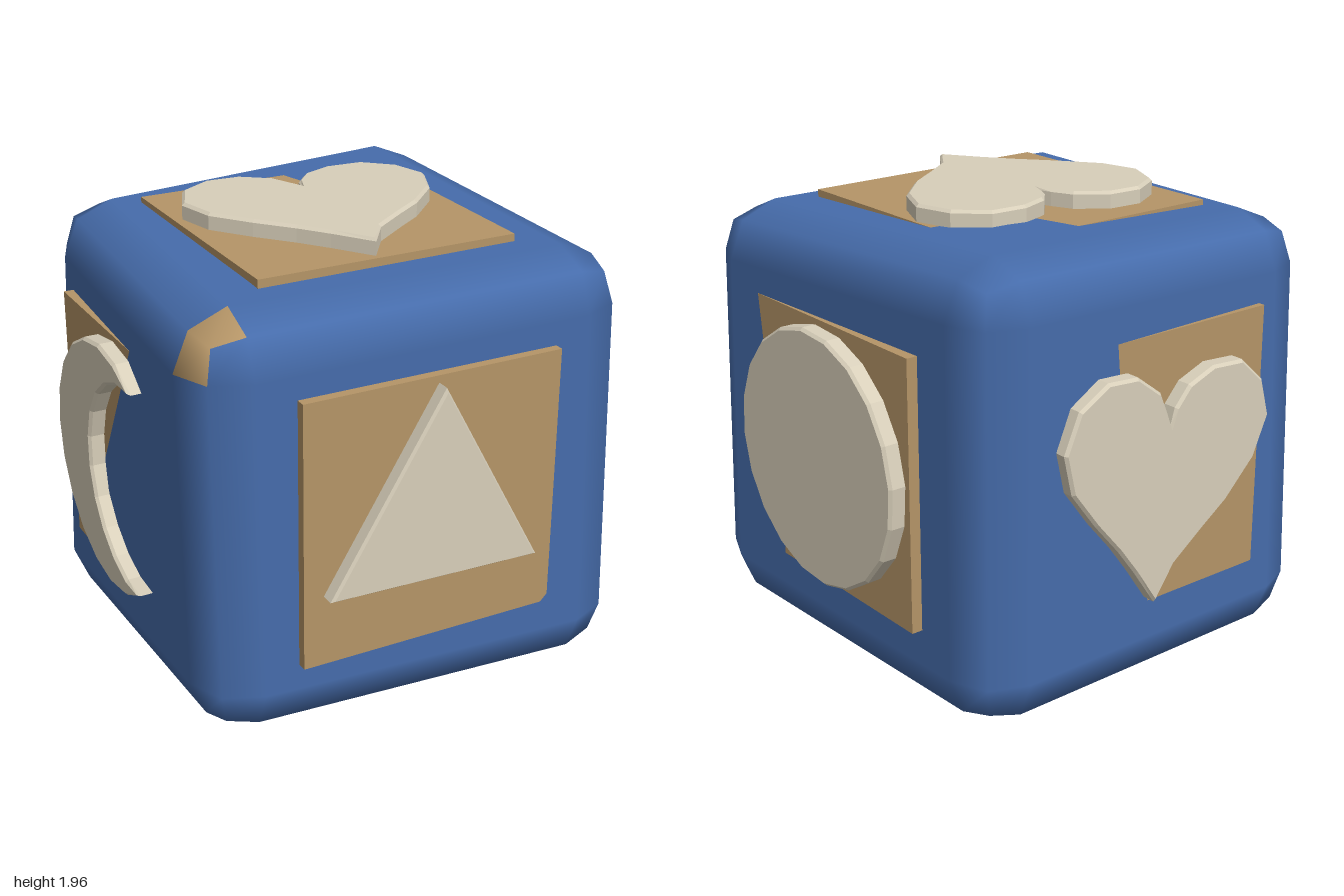
import * as THREE from 'three';
import { RoundedBoxGeometry } from 'three/addons/geometries/RoundedBoxGeometry.js';

const blue = new THREE.MeshStandardMaterial({ name: 'blue', color: 0x466cab, side: THREE.DoubleSide });
const tan = new THREE.MeshStandardMaterial({ name: 'tan', color: 0xb59567, side: THREE.DoubleSide });
const cream = new THREE.MeshStandardMaterial({ name: 'cream', color: 0xd8cfba });

const MID = 0.965; // height of the block's centre
const HALF = 0.945, FLAT = 0.72; // nominal half size, and half size of the flat faces

// Uneven cube corners, indexed by x + 2y + 4z (0 = negative, 1 = positive side)
const CORNERS = [
  [-0.925, -0.965, -0.91], [0.875, -0.945, -0.95],
  [-0.88, 0.9, -0.898], [0.875, 0.945, -0.945],
  [-0.935, -0.895, 0.885], [0.948, -0.925, 0.94],
  [-0.957, 0.885, 0.885], [0.938, 0.89, 0.89],
];

// Moves a point of the regular block towards the uneven corners
function warp(p) {
  const t = p.toArray().map((c) => (THREE.MathUtils.clamp(c / FLAT, -1, 1) + 1) / 2);
  const out = p.clone();
  CORNERS.forEach((corner, i) => {
    const bits = [i & 1, (i >> 1) & 1, (i >> 2) & 1];
    const w = bits.reduce((acc, b, k) => acc * (b ? t[k] : 1 - t[k]), 1);
    corner.forEach((c, k) => {
      out.setComponent(k, out.getComponent(k) + w * (c - (bits[k] ? HALF : -HALF)));
    });
  });
  return out;
}

// Which part a cell of the block belongs to: side 0..5 is +x -x +y -y +z -z
function cellPart(side, c) {
  const x = Math.abs(c.x) < 0.6 ? 0 : Math.sign(c.x);
  const y = Math.abs(c.y) < 0.6 ? 0 : Math.sign(c.y);
  const z = Math.abs(c.z) < 0.6 ? 0 : Math.sign(c.z);
  const at = (a, b, d) => x === a && y === b && z === d;
  if (side === 3 && (at(0, -1, -1) || at(1, -1, 1))) return 'gap';
  if ((side === 1 || side === 2) && at(-1, 1, 1)) return 'worn';
  if (side === 1 && at(-1, -1, -1)) return 'worn';
  return 'body';
}

function buildBlock() {
  const box = new RoundedBoxGeometry(HALF * 2, HALF * 2, HALF * 2, 1, HALF - FLAT);
  const pos = box.attributes.position, nor = box.attributes.normal;
  const parts = { body: [[], []], worn: [[], []], gap: [[], []] };
  for (let start = 0; start < pos.count; start += 6) {
    const pts = [], centre = new THREE.Vector3();
    for (let i = start; i < start + 6; i++) {
      pts.push(new THREE.Vector3().fromBufferAttribute(pos, i));
      centre.addScaledVector(pts[i - start], 1 / 6);
    }
    const [p, n] = parts[cellPart(Math.floor(start / 54), centre)];
    pts.forEach((v, k) => {
      p.push(...warp(v).toArray());
      n.push(nor.getX(start + k), nor.getY(start + k), nor.getZ(start + k));
    });
  }
  const make = ([p, n], material, name) => {
    const g = new THREE.BufferGeometry();
    g.setAttribute('position', new THREE.Float32BufferAttribute(p, 3));
    g.setAttribute('normal', new THREE.Float32BufferAttribute(n, 3));
    const mesh = new THREE.Mesh(g, material);
    mesh.name = name;
    mesh.position.y = MID;
    return mesh;
  };
  return [make(parts.body, blue, 'blockBody'), make(parts.worn, tan, 'wornCorners')];
}

const outline = (pts) => new THREE.Shape(pts.map(([x, y]) => new THREE.Vector2(x, y)));

const triangle = outline([[-0.48, -0.26], [0.455, -0.285], [0.01, 0.535]]);

const heart = outline([
  [-0.05, -0.54], [0.05, -0.4], [0.2, -0.29], [0.33, -0.2], [0.48, -0.05], [0.555, 0.12],
  [0.51, 0.28], [0.39, 0.39], [0.23, 0.4], [0.1, 0.35], [0.03, 0.27], [0.01, 0.2],
  [-0.01, 0.26], [-0.05, 0.35], [-0.17, 0.44], [-0.32, 0.45], [-0.46, 0.37], [-0.53, 0.21],
  [-0.49, 0.04], [-0.37, -0.12], [-0.25, -0.26], [-0.16, -0.38],
]);

const arc = (cx, r, from, to, n) => Array.from({ length: n }, (_, i) => {
  const a = from + ((to - from) * i) / (n - 1);
  return [cx + r * Math.cos(a), r * Math.sin(a)];
});

const disc = outline(arc(0, 0.542, 0.09, 0.09 + Math.PI * 2 * 0.95, 20));

// Crescent: a wide outer arc closed by a smaller inner arc
const tipOuter = Math.atan2(0.443, 0.31), tipInner = Math.atan2(0.443, 0.04);
const crescent = outline([
  ...arc(0, 0.541, tipOuter, Math.PI * 2 - tipOuter, 15),
  ...arc(0.27, 0.445, Math.PI * 2 - tipInner, tipInner, 12).slice(1, -1),
]);

// One side's tan plate with its raised shape, built facing +z
function buildSide(name, shape, plateTop, shapeTop, rx, ry) {
  const side = new THREE.Group();
  side.name = name;
  side.position.y = MID;
  side.rotation.set(rx, ry, 0);

  const plate = new THREE.Mesh(new THREE.BoxGeometry(1.13, 1.13, 0.06), tan);
  plate.name = name + 'Plate';
  plate.position.z = plateTop - 0.03;

  const bevel = 0.012;
  const raised = new THREE.Mesh(new THREE.ExtrudeGeometry(shape, {
    depth: 0.11, bevelThickness: bevel, bevelSize: bevel, bevelOffset: -bevel, bevelSegments: 1,
  }), cream);
  raised.name = name + 'Shape';
  raised.position.z = shapeTop - 0.11 - bevel;

  side.add(plate, raised);
  return side;
}

export function createModel() {
  const model = new THREE.Group();
  model.name = 'shapeBlock';
  const q = Math.PI / 2;
  model.add(
    ...buildBlock(),
    buildSide('frontTriangle', triangle, 0.928, 0.995, 0, 0),
    buildSide('leftDisc', disc, 0.93, 1, 0, q),
    buildSide('backHeart', heart, 0.93, 0.998, 0, q * 2),
    buildSide('rightCrescent', crescent, 0.932, 1, 0, -q),
    buildSide('topHeart', heart, 0.925, 0.995, -q, 0),
  );
  return model;
}
